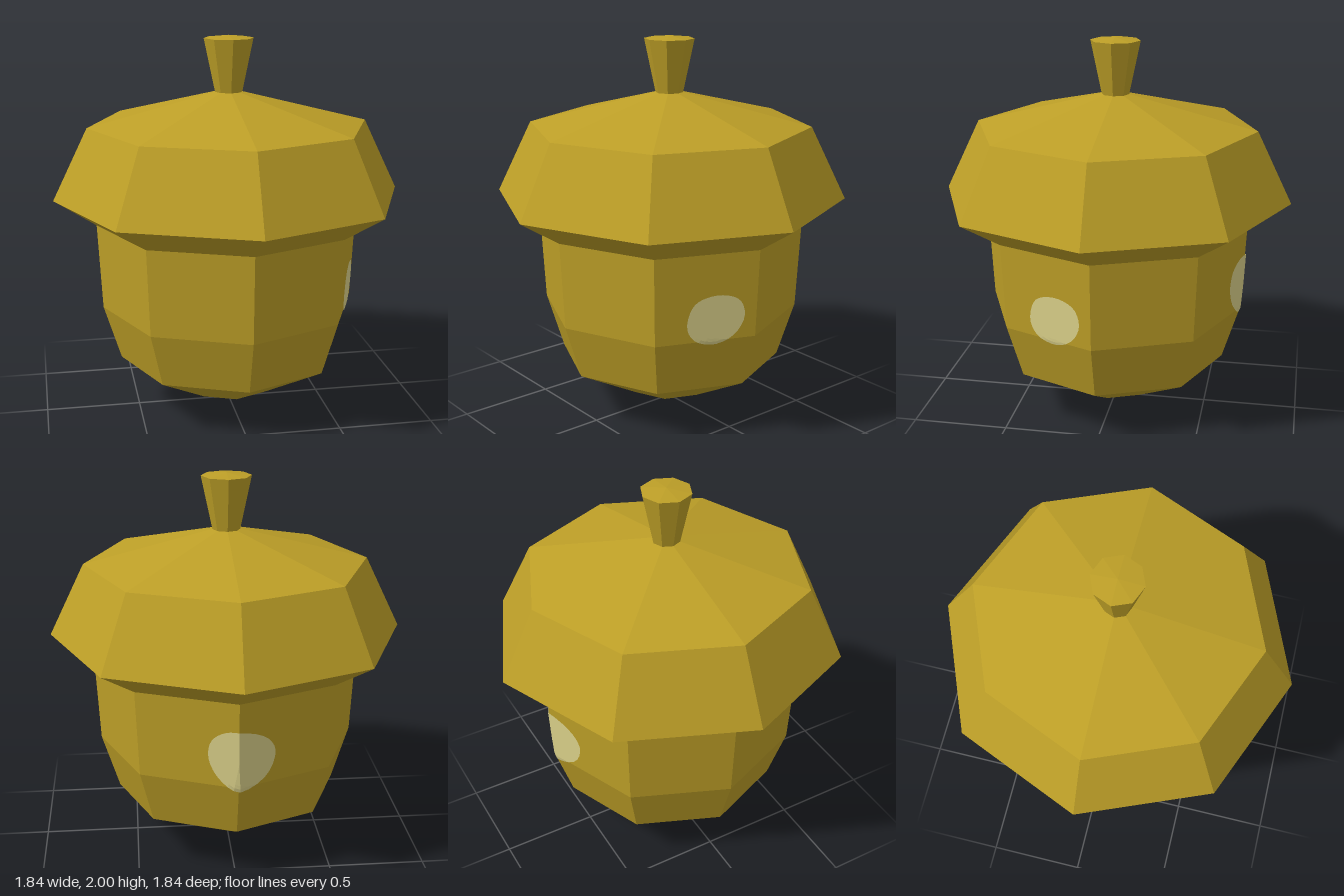
import * as THREE from 'three';

const SIDES = 8;

// Radius and height pairs, bottom to top
const NUT = [[0, 0], [0.11, 0.055], [0.235, 0.085], [0.59, 0.28], [0.68, 0.57], [0.703, 1.03]];
const CAP = [[0.68, 1.01], [0.703, 1.025], [0.922, 1.165], [0.738, 1.54], [0.07, 1.71], [0, 1.72]];
const STEM = [[0.07, 1.7], [0.13, 1.985], [0, 2]];

function lathe(name, profile, material) {
  const points = profile.map(([r, y]) => new THREE.Vector2(r, y));
  const mesh = new THREE.Mesh(new THREE.LatheGeometry(points, SIDES), material);
  mesh.name = name;
  return mesh;
}

// Point on the faceted nut wall; t counts corners round from the front
function wallPoint(t, y, lift) {
  let i = 1;
  while (i < NUT.length - 1 && NUT[i][1] < y) i++;
  const [r0, y0] = NUT[i - 1], [r1, y1] = NUT[i];
  const r = r0 + (r1 - r0) * (y - y0) / (y1 - y0) + lift;
  const k = Math.floor(t + 1e-6), f = t - k;
  const corner = (n) => new THREE.Vector3(
    r * Math.sin(n * Math.PI * 2 / SIDES), y, r * Math.cos(n * Math.PI * 2 / SIDES));
  return corner(k).lerp(corner(k + 1), f);
}

// Rounded patch that wraps over the wall facets
function spot(name, t, y, outline, material) {
  const rings = 8, segs = 32, side = 0.525;
  const curve = new THREE.CatmullRomCurve3(
    outline.map(([u, v]) => new THREE.Vector3(u, v, 0)), true);
  const positions = [], index = [];
  for (let i = 0; i <= rings; i++) {
    for (let j = 0; j < segs; j++) {
      const p = curve.getPoint(j / segs).multiplyScalar(i / rings);
      positions.push(...wallPoint(t + p.x / side, y + p.y, 0.006).toArray());
      if (i === rings) continue;
      const a = i * segs + j, b = i * segs + (j + 1) % segs;
      if (i > 0) index.push(a, b, a + segs);
      index.push(b, b + segs, a + segs);
    }
  }
  const geometry = new THREE.BufferGeometry();
  geometry.setAttribute('position', new THREE.Float32BufferAttribute(positions, 3));
  geometry.setIndex(index);
  geometry.computeVertexNormals();
  const mesh = new THREE.Mesh(geometry, material);
  mesh.name = name;
  return mesh;
}

export function createModel() {
  const acornBrown = new THREE.MeshStandardMaterial({ color: 0xbd9f27, flatShading: true });
  acornBrown.name = 'acornBrown';
  const paleSpot = new THREE.MeshStandardMaterial({
    color: 0xddd38b, flatShading: true, side: THREE.DoubleSide });
  paleSpot.name = 'paleSpot';

  const group = new THREE.Group();
  group.name = 'acorn';
  group.add(
    lathe('nut', NUT, acornBrown),
    lathe('cap', CAP, acornBrown),
    lathe('stem', STEM, acornBrown),
    // Outlines run clockwise from the top
    spot('leftSpot', 1.594, 0.68, [[0.03, 0.13], [0.12, 0.095], [0.148, 0.01], [0.103, -0.08],
      [0, -0.13], [-0.108, -0.1], [-0.148, -0.027], [-0.12, 0.08], [-0.07, 0.117]], paleSpot),
    spot('backSpot', 4, 0.705, [[0, 0.17], [0.15, 0.115], [0.2, 0.035], [0.155, -0.09],
      [0, -0.16], [-0.11, -0.085], [-0.157, 0.02], [-0.14, 0.11], [-0.08, 0.158]], paleSpot),
  );
  return group;
}
